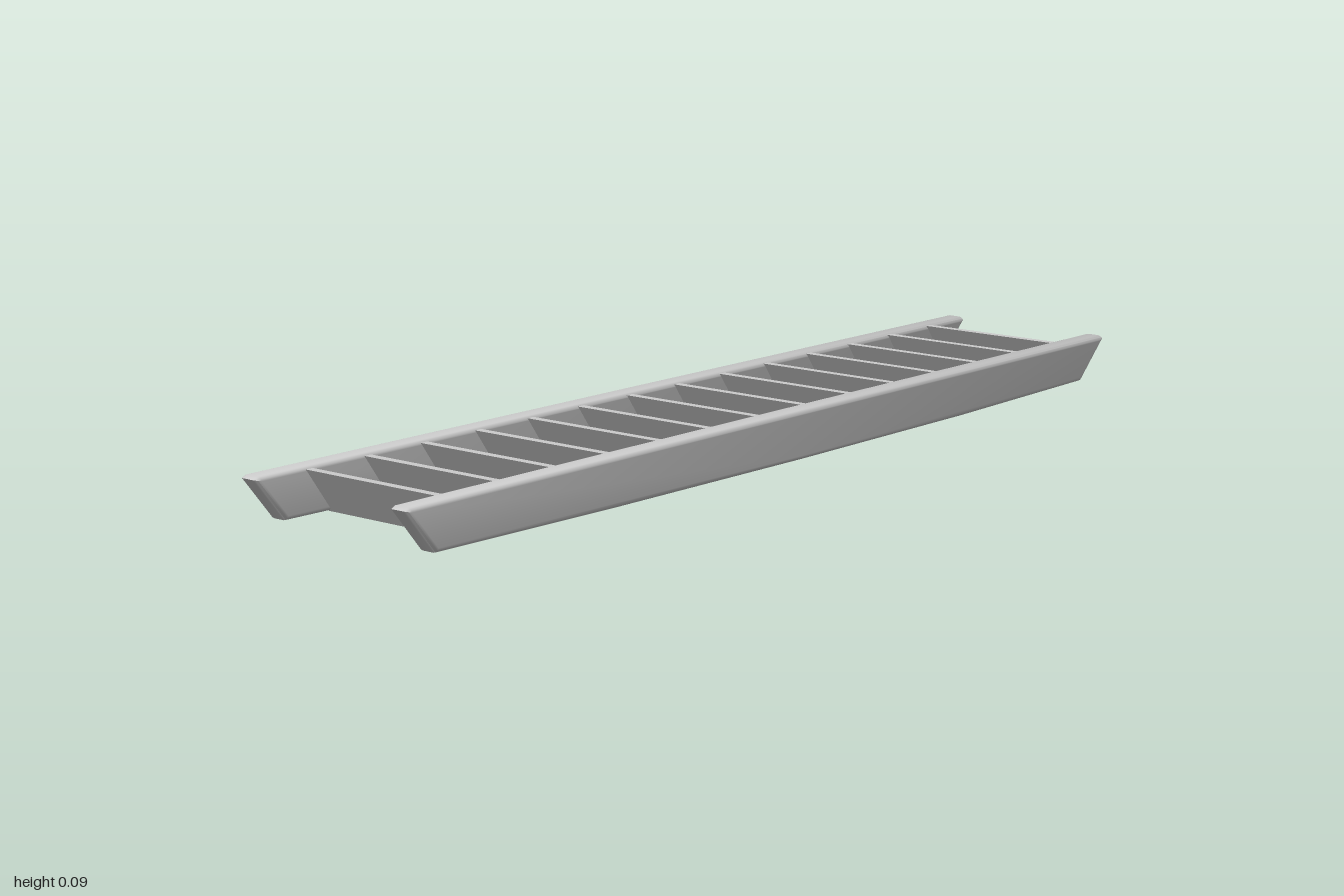
import * as THREE from 'three';
import { toCreasedNormals } from 'three/addons/utils/BufferGeometryUtils.js';

const material = new THREE.MeshStandardMaterial({ color: 0xcccccc });

// Extrudes an x/y outline along z, centred on z = 0, with softened edges
function slab(points, width, bevel) {
  const shape = new THREE.Shape(points.map(([x, y]) => new THREE.Vector2(x, y)));
  const geometry = new THREE.ExtrudeGeometry(shape, {
    depth: width - 2 * bevel,
    bevelEnabled: bevel > 0,
    bevelThickness: bevel,
    bevelSize: bevel,
    bevelOffset: -bevel,
    bevelSegments: 3,
  });
  geometry.translate(0, 0, -width / 2 + bevel);
  return toCreasedNormals(geometry, 0.7);
}

function addMesh(parent, name, geometry, x, z) {
  const mesh = new THREE.Mesh(geometry, material);
  mesh.name = name;
  mesh.position.set(x, 0, z);
  parent.add(mesh);
}

export function createModel() {
  const model = new THREE.Group();
  model.name = 'staircase';
  const stairs = new THREE.Group();
  stairs.name = 'stairs';
  model.add(stairs);

  // Side rails: long boards with slanted ends and a slightly bowed underside
  const rail = slab([
    [-0.935, 0.01], [-0.5, 0.004], [0, 0.001], [0.5, 0.002], [0.915, 0.008],
    [0.985, 0.075], [0.995, 0.085], [0.985, 0.091], [0, 0.093], [-0.99, 0.094], [-1, 0.089],
  ], 0.04, 0.008);
  addMesh(stairs, 'frontRail', rail, 0, 0.168);
  addMesh(stairs, 'backRail', rail, 0, -0.176);

  // Treads: thin boards leaning down towards +x, set into both rails
  const tread = slab([
    [0.021, 0.007], [0.037, 0.007], [-0.021, 0.089], [-0.037, 0.089],
  ], 0.32, 0);
  for (let i = 0; i < 14; i++) {
    addMesh(stairs, 'tread', tread, -0.853 + i * 0.1345, -0.004);
  }

  // The whole piece lies very slightly askew
  stairs.rotation.y = -0.011;
  return model;
}
